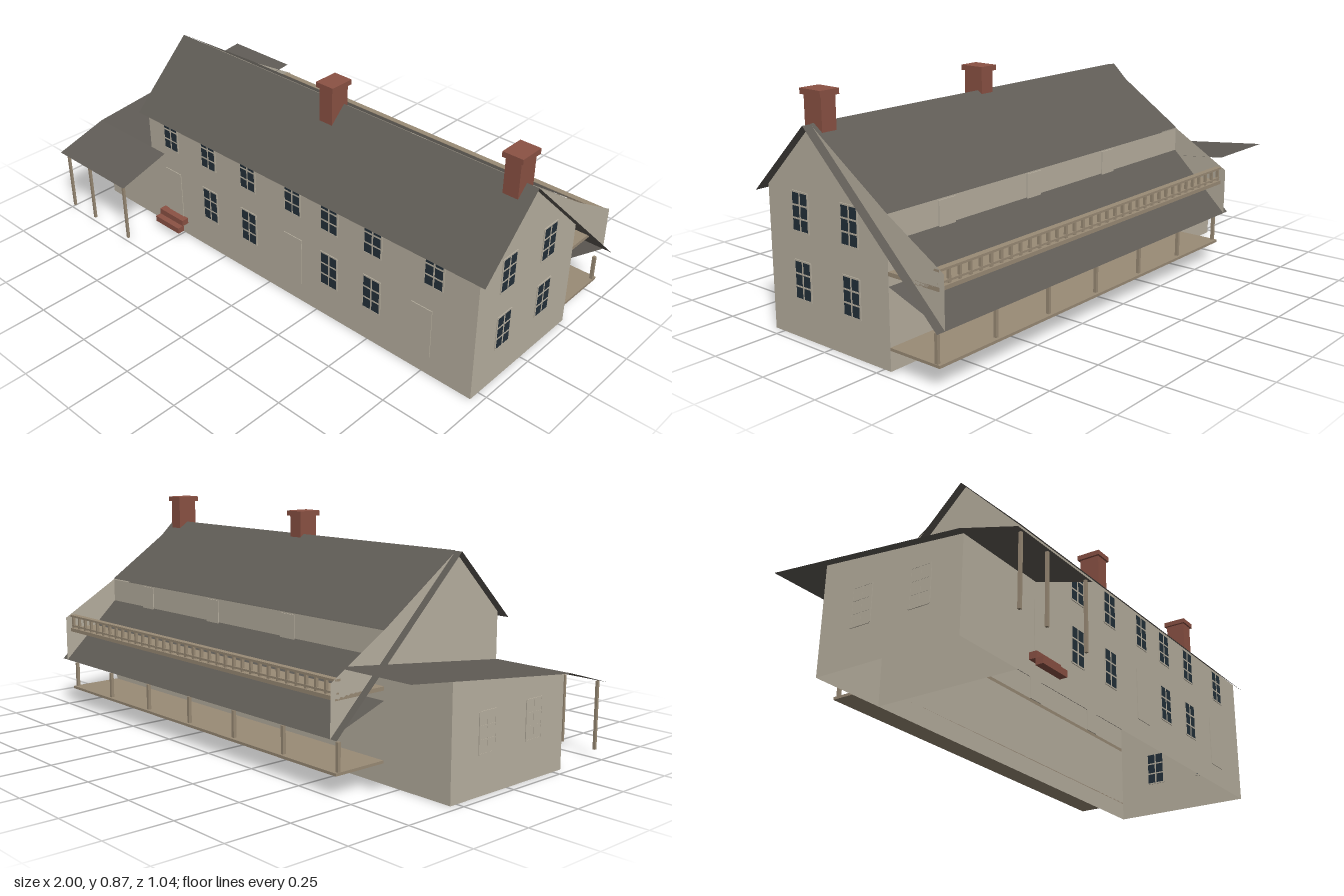
import * as THREE from 'three';

const flat = (name, color) => {
  const m = new THREE.MeshStandardMaterial({ color, side: THREE.DoubleSide });
  m.name = name;
  return m;
};

export function createModel() {
  const wall = flat('wall', 0xb8b0a0);
  const roof = flat('roof', 0x605c56);
  const brick = flat('brick', 0x8b5244);
  const wood = flat('wood', 0x9a8b76);
  const glass = flat('glass', 0x23303a);

  const house = new THREE.Group();
  house.name = 'house';

  const add = (name, geo, mat, parent = house) => {
    const m = new THREE.Mesh(geo, mat);
    m.name = name;
    parent.add(m);
    return m;
  };

  // Box given by its limits on each axis
  const box = (name, mat, [x0, x1], [y0, y1], [z0, z1], parent) => {
    const m = add(name, new THREE.BoxGeometry(x1 - x0, y1 - y0, z1 - z0), mat, parent);
    m.position.set((x0 + x1) / 2, (y0 + y1) / 2, (z0 + z1) / 2);
    return m;
  };

  const polygon = (pts) => new THREE.ShapeGeometry(new THREE.Shape(pts.map(([a, b]) => new THREE.Vector2(a, b))));

  // Flat wall across x, from a list of [z, y] corners
  const sideWall = (name, x, pts) => add(name, polygon(pts).rotateY(-Math.PI / 2).translate(x, 0, 0), wall);

  // Flat wall across z, from its x limits and height
  const longWall = (name, z, x0, x1, h) =>
    add(name, polygon([[x0, 0], [x1, 0], [x1, h], [x0, h]]).translate(0, 0, z), wall);

  // Thin roof sheet: a profile of [z, y] points carried along x
  const sheet = (name, pts, x0, x1) => {
    const pos = [];
    for (let i = 0; i < pts.length - 1; i++) {
      const [za, ya] = pts[i], [zb, yb] = pts[i + 1];
      pos.push(x0, ya, za, x1, ya, za, x1, yb, zb, x0, ya, za, x1, yb, zb, x0, yb, zb);
    }
    const g = new THREE.BufferGeometry();
    g.setAttribute('position', new THREE.Float32BufferAttribute(pos, 3));
    g.computeVertexNormals();
    return add(name, g, roof);
  };

  const L = -0.675, R = 0.965, F = 0.295, B = -0.28;

  // Main block, open underneath
  longWall('frontWall', F, L, R, 0.52);
  longWall('backWall', B, L, R, 0.52);
  for (const x of [L, R]) {
    sideWall('gableWall', x, [[F, 0], [F, 0.52], [0.06, 0.753], [B, 0.523], [B, 0]]);
    sideWall('balconySideWall', x, [[B, 0.523], [-0.52, 0.38], [-0.52, 0.2], [B, 0.43]]);
  }

  // Main roof, the shallower rear upper roof, and the porch ceiling
  sheet('mainRoof', [[0.32, 0.5], [0.06, 0.755], [-0.52, 0.2]], -0.705, 1);
  sheet('rearUpperRoof', [[0.06, 0.757], [-0.283, 0.525]], L, R);
  sheet('rearPorchRoof', [[B, 0.285], [-0.52, 0.2]], L, R);

  // Side wing
  longWall('wingFrontWall', F, -0.97, L, 0.344);
  longWall('wingBackWall', B, -0.97, L, 0.406);
  sideWall('wingEndWall', -0.97, [[F, 0], [F, 0.344], [B, 0.406], [B, 0]]);
  sheet('wingRoof', [[0.3, 0.345], [-0.5, 0.43]], -1, -0.672);
  sheet('frontPorchRoof', [[0.52, 0.28], [0.3, 0.345]], -1, -0.587);
  for (const x of [-0.965, -0.825, -0.607])
    box('frontPorchPost', wood, [x - 0.005, x + 0.005], [0.03, 0.282], [0.5, 0.51]);

  // Brick steps
  box('upperStep', brick, [-0.615, -0.475], [0.055, 0.08], [F, 0.325]);
  box('lowerStep', brick, [-0.615, -0.475], [0.03, 0.055], [0.32, 0.35]);

  // Chimneys
  for (const [x, z, top] of [[0.138, 0.083, 0.847], [0.922, 0.062, 0.867]]) {
    box('chimneyShaft', brick, [x - 0.03, x + 0.03], [0.66, top - 0.02], [z - 0.042, z + 0.042]);
    box('chimneyCap', brick, [x - 0.04, x + 0.04], [top - 0.02, top], [z - 0.05, z + 0.05]);
  }

  // Rear porch deck with short posts
  box('porchDeck', wood, [L, R], [0.072, 0.082], [-0.495, B]);
  for (let i = 0; i < 7; i++) {
    const x = L + 0.008 + i * (R - L - 0.016) / 6;
    box('rearPorchPost', wood, [x - 0.006, x + 0.006], [0.08, 0.182], [-0.484, -0.472]);
  }

  // Balcony floor and railing above the porch
  box('balconyFloor', wood, [L, R], [0.32, 0.334], [-0.5, B]);
  box('balconyTopRail', wood, [L, R], [0.382, 0.39], [-0.5, -0.476]);
  box('balconyBottomRail', wood, [L, R], [0.34, 0.347], [-0.494, -0.482]);
  const count = 34;
  for (let i = 0; i <= count; i++) {
    const x = L + 0.006 + i * (R - L - 0.012) / count;
    box('baluster', wood, [x - 0.005, x + 0.005], [0.33, 0.384], [-0.493, -0.483]);
  }

  // Window in its own plane: pane, frame and bars of a 2 by 3 sash
  const makeWindow = (h, paneMat) => {
    const g = new THREE.Group(), w = 0.08, t = 0.003;
    g.name = 'window';
    box('pane', paneMat, [-w / 2, w / 2], [0, h], [-0.002, 0.002], g);
    for (const x of [-w / 2, 0, w / 2])
      box('uprightBar', wall, [x - t, x + t], [0, h], [-0.003, 0.003], g);
    for (let i = 0; i <= 3; i++)
      box('crossBar', wall, [-w / 2, w / 2], [i * h / 3 - t, i * h / 3 + t], [-0.003, 0.003], g);
    house.add(g);
    return g;
  };

  // Front windows
  for (const x of [-0.543, -0.324, -0.104, 0.131, 0.313, 0.516, 0.783])
    makeWindow(0.13, glass).position.set(x, 0.38, F);
  for (const x of [-0.324, -0.104, 0.313, 0.516])
    makeWindow(0.14, glass).position.set(x, 0.14, F);

  // End windows
  for (const z of [0.133, -0.107]) {
    for (const y of [0.38, 0.14]) {
      const w = makeWindow(0.137, glass);
      w.position.set(R, y, z);
      w.rotation.y = Math.PI / 2;
    }
    const w = makeWindow(0.14, wall);
    w.position.set(-0.97, 0.14, z);
    w.rotation.y = Math.PI / 2;
  }

  // Doors: front, and rear balcony
  for (const x of [-0.543, 0.131, 0.74])
    box('frontDoor', wall, [x - 0.045, x + 0.045], [0.08, 0.28], [F - 0.003, F + 0.003]);
  for (const x of [-0.19, 0.256, 0.7])
    box('balconyDoor', wall, [x - 0.038, x + 0.038], [0.334, 0.515], [B - 0.004, B + 0.004]);

  return house;
}
